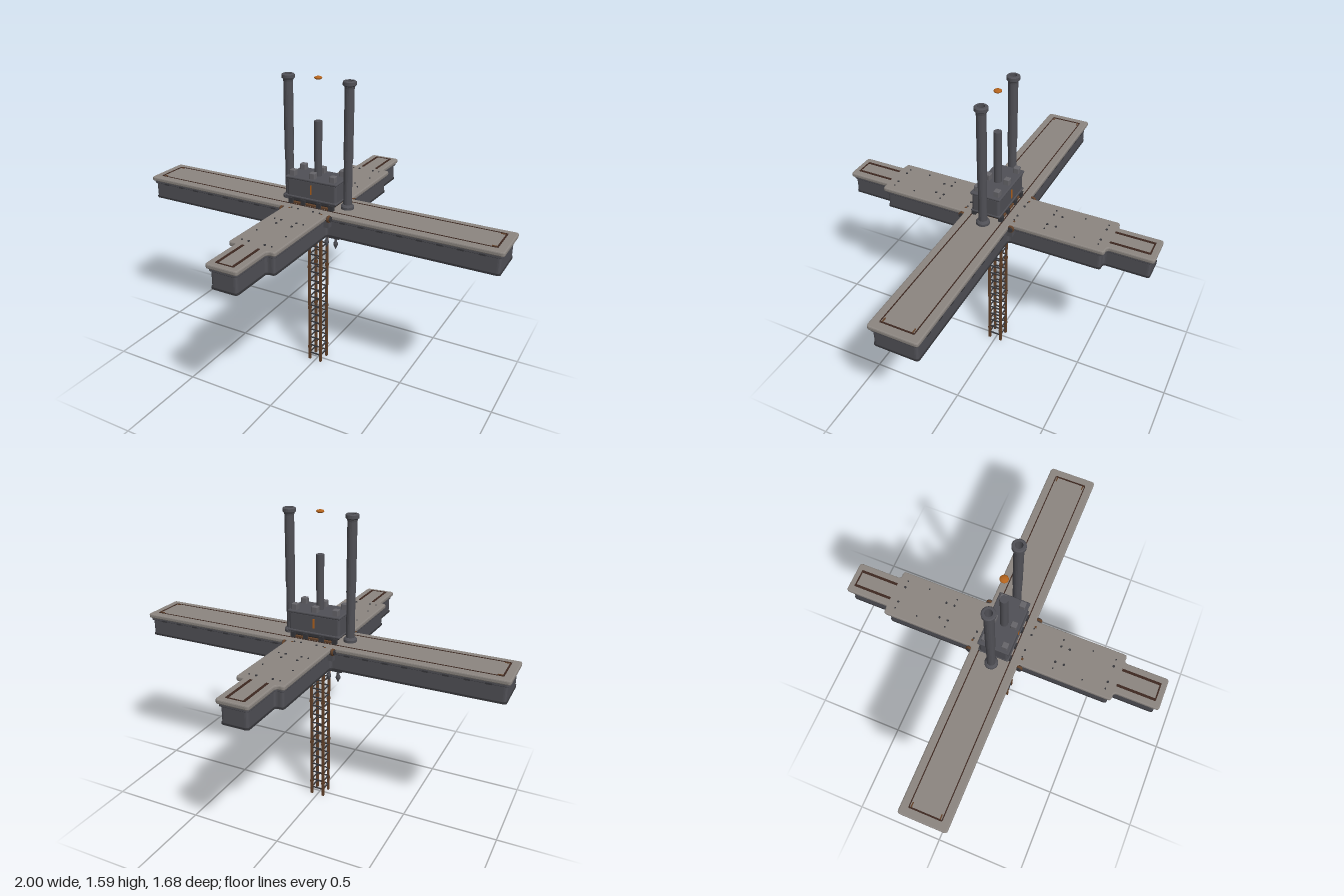
import * as THREE from 'three';
import { RoundedBoxGeometry } from 'three/addons/geometries/RoundedBoxGeometry.js';

const mat = (name, color) => {
  const m = new THREE.MeshStandardMaterial({ color });
  m.name = name;
  return m;
};

// Stepped cross outline with softened corners, shrunk by d
function crossShape(d, r) {
  const q = [[1 - d, 0.125 - d], [0.125 - d, 0.125 - d], [0.125 - d, 0.61 - d],
    [0.083 - d, 0.61 - d], [0.083 - d, 0.84 - d]];
  const flip = (sx, sy, rev) => {
    const a = q.map(([x, y]) => [x * sx, y * sy]);
    return rev ? a.reverse() : a;
  };
  const pts = [...flip(1, 1), ...flip(-1, 1, true), ...flip(-1, -1), ...flip(1, -1, true)]
    .map(([x, y]) => new THREE.Vector2(x, y));
  const shape = new THREE.Shape();
  pts.forEach((p, i) => {
    const toward = (o) => p.clone().add(o.clone().sub(p).setLength(r));
    const a = toward(pts.at(i - 1)), b = toward(pts[(i + 1) % pts.length]);
    if (i === 0) shape.moveTo(a.x, a.y); else shape.lineTo(a.x, a.y);
    shape.quadraticCurveTo(p.x, p.y, b.x, b.y);
  });
  shape.closePath();
  return shape;
}

function slab(d, y0, y1, bevel) {
  const g = new THREE.ExtrudeGeometry(crossShape(d, 0.016), {
    depth: y1 - y0 - 2 * bevel, bevelEnabled: bevel > 0, bevelSize: bevel, bevelOffset: -bevel,
    bevelThickness: bevel, bevelSegments: 2, curveSegments: 4,
  });
  return g.rotateX(-Math.PI / 2).translate(0, y0 + bevel, 0);
}

export function createModel() {
  const root = new THREE.Group();
  root.name = 'crossPlatform';
  const stone = mat('taupe deck', 0x8c8681);
  const steel = mat('dark steel', 0x505056);
  const iron = mat('near black iron', 0x37373b);
  const rust = mat('rusty brown', 0x63422a);
  const groove = mat('dark brown inlay', 0x3d2820);
  const orange = mat('orange copper', 0xb4631c);
  const grey = mat('bolt grey', 0x66656a);

  const add = (name, geo, m, x = 0, y = 0, z = 0, parent = root) => {
    const mesh = new THREE.Mesh(geo, m);
    mesh.name = name;
    mesh.position.set(x, y, z);
    parent.add(mesh);
    return mesh;
  };
  const box = (name, w, h, d, m, x, y, z) => add(name, new THREE.BoxGeometry(w, h, d), m, x, y, z);
  const cyl = (name, r, h, m, x, y, z, n = 16) =>
    add(name, new THREE.CylinderGeometry(r, r, h, n), m, x, y, z);
  const signs = [-1, 1];

  // Cross-shaped hull, trim and deck
  add('hull', slab(0.016, 0.825, 0.925, 0), steel);
  add('hullBottomTrim', slab(0.013, 0.821, 0.831, 0), iron);
  add('hullTopTrim', slab(0.009, 0.908, 0.924, 0.003), steel);
  add('deck', slab(0, 0.922, 0.945, 0.006), stone);

  // Inlaid deck lines and rivets
  const Y = 0.9455;
  for (const s of signs) {
    box('longInlay', 1.91, 0.003, 0.005, groove, 0, Y, s * 0.083);
    box('endInlay', 0.008, 0.003, 0.166, groove, s * 0.955, Y, 0);
    box('tipInlay', 0.09, 0.003, 0.007, groove, 0, Y, s * 0.808);
    for (const t of signs) {
      box('bracketInlay', 0.025, 0.004, 0.006, rust, s * 0.94, Y, t * 0.073);
      box('sideInlay', 0.013, 0.003, 0.2, groove, t * 0.042, Y, s * 0.71);
      for (const z of [0.13, 0.29, 0.335, 0.565])
        cyl('deckRivet', 0.006, 0.006, iron, t * 0.043, Y, s * z, 8);
      for (const z of [0.13, 0.29, 0.445, 0.565])
        cyl('smallRivet', 0.004, 0.006, iron, t * 0.08, Y, s * z, 8);

      // Inner-corner hinges
      const hinge = new THREE.Group();
      hinge.name = 'cornerHinge';
      hinge.position.set(t * 0.113, 0.928, s * 0.134);
      root.add(hinge);
      const barrel = (n, r, w, m, x) =>
        add(n, new THREE.CylinderGeometry(r, r, w, 14).rotateZ(Math.PI / 2), m, x, 0, 0, hinge);
      barrel('hingeBarrel', 0.014, 0.066, iron, 0);
      barrel('hingeCollar', 0.018, 0.012, rust, -0.022);
      barrel('hingeCollar', 0.018, 0.012, rust, 0.022);
      add('hingeBracket', new THREE.BoxGeometry(0.028, 0.04, 0.028), steel, t * 0.012, -0.025, -s * 0.004, hinge);
    }
  }
  // Small bolts under the deck edge
  for (const s of signs)
    for (let i = 0; i < 8; i++)
      for (const t of signs)
        box('edgeBolt', 0.03, 0.008, 0.008, iron, t * (0.2 + i * 0.1), 0.912, s * 0.116);

  // Machine housing
  add('basePlate', new RoundedBoxGeometry(0.22, 0.014, 0.15, 2, 0.004), rust, 0, 0.95, 0);
  add('lowerHousing', new RoundedBoxGeometry(0.25, 0.035, 0.14, 2, 0.01), iron, 0, 0.972, 0);
  add('housing', new RoundedBoxGeometry(0.282, 0.116, 0.15, 3, 0.014), steel, 0, 1.028, 0);
  add('lowerRim', new RoundedBoxGeometry(0.287, 0.014, 0.158, 2, 0.006), steel, 0, 0.982, 0);
  add('upperRim', new RoundedBoxGeometry(0.29, 0.014, 0.162, 2, 0.006), steel, 0, 1.083, 0);
  for (const s of signs) {
    for (const x of [-0.115, -0.045, 0.045, 0.115])
      box('foot', 0.024, 0.03, 0.022, iron, x, 0.96, s * 0.073);
    for (const x of [-0.113, 0, 0.113])
      add('topBolt', new RoundedBoxGeometry(0.031, 0.035, 0.031, 2, 0.004), grey, x, 1.103, s * 0.052);
    box('indicator', 0.009, 0.05, 0.006, orange, 0, 1.035, s * 0.075);
  }
  cyl('mast', 0.02, 0.29, steel, 0, 1.227, 0, 20);
  add('floatingDisc', new THREE.SphereGeometry(0.02, 16, 8).scale(1, 0.42, 1), orange, 0, 1.582, 0);

  // Hollow side pillars
  const profile = [[0.018, 0.945], [0.034, 0.945], [0.034, 0.958], [0.027, 0.966], [0.022, 0.968],
    [0.022, 1.2], [0.024, 1.2], [0.024, 1.55], [0.026, 1.56], [0.033, 1.566], [0.033, 1.582],
    [0.028, 1.586], [0.018, 1.586], [0.018, 0.945]].map(([x, y]) => new THREE.Vector2(x, y));
  for (const s of signs) {
    const g = new THREE.LatheGeometry(profile, 20).toNonIndexed();
    g.computeVertexNormals();
    add('pillar', g, steel, s * 0.168, 0, 0);
  }

  // Hanging lattice ladder
  for (const sx of signs)
    for (const sz of signs) {
      box('ladderRail', 0.012, 0.825, 0.012, rust, sx * 0.034, 0.4125, sz * 0.034);
      for (const y of [0.08, 0.33, 0.58])
        box('railJoint', 0.016, 0.014, 0.016, rust, sx * 0.034, y, sz * 0.034);
    }
  for (let y = 0.04; y < 0.82; y += 0.0513)
    for (const s of signs) {
      box('rung', 0.068, 0.006, 0.006, iron, 0, y, s * 0.034);
      box('rung', 0.006, 0.006, 0.068, iron, s * 0.034, y, 0);
    }

  // Spikes on a cross bar below the hull
  box('spikeBar', 0.25, 0.013, 0.016, iron, 0, 0.768, 0);
  const spike = [[0, 0.7], [0.012, 0.726], [0.012, 0.738], [0.007, 0.744], [0.007, 0.825]]
    .map(([x, y]) => new THREE.Vector2(x, y));
  for (const x of [-0.103, -0.05, 0.05, 0.103])
    add('spike', new THREE.LatheGeometry(spike, 10), steel, x, 0, 0);

  return root;
}
